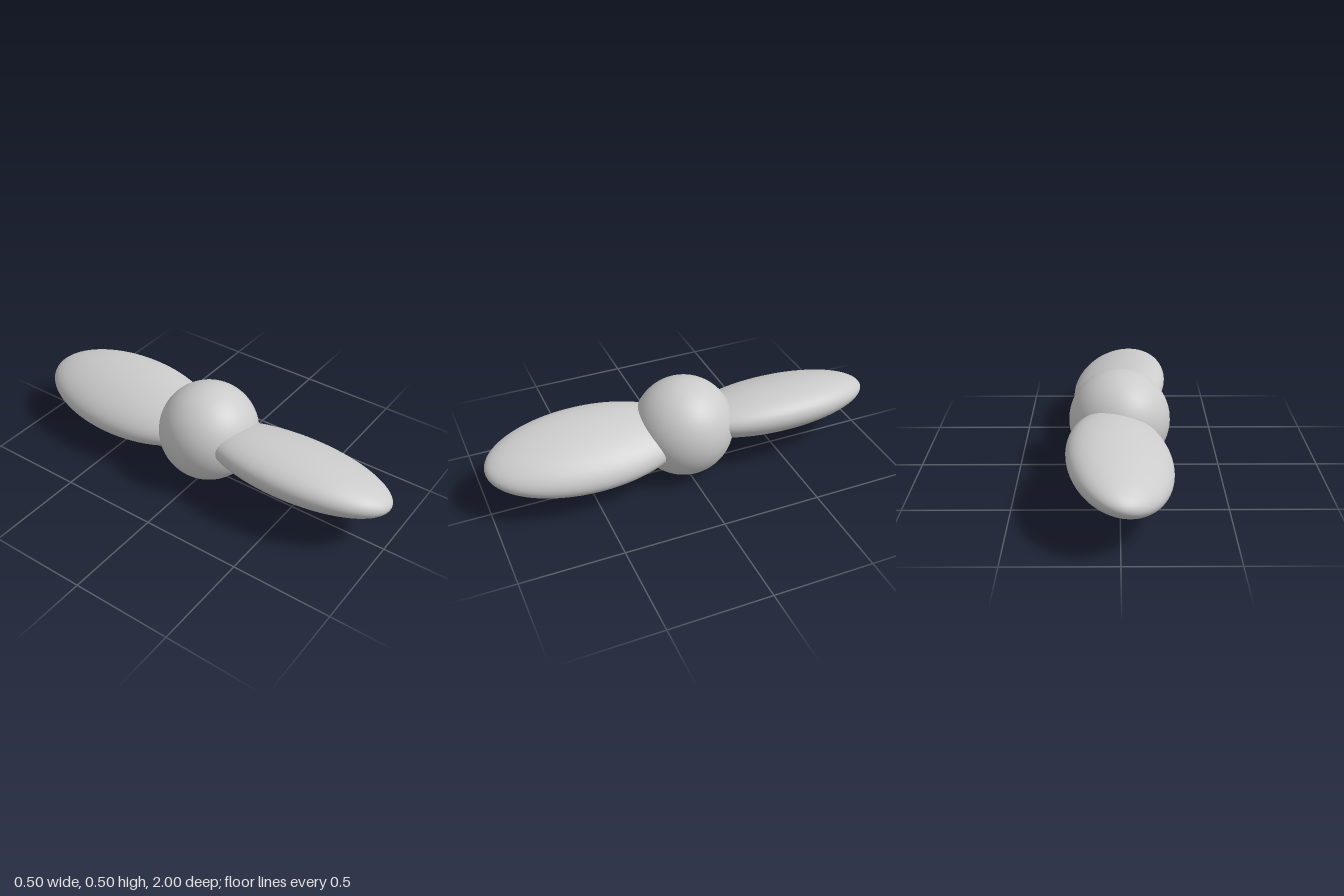
import * as THREE from 'three';

const HUB_RADIUS = 0.25;
const BLADE_PITCH = THREE.MathUtils.degToRad(15);

export function createModel() {
  const model = new THREE.Group();
  model.name = 'propeller';
  const material = new THREE.MeshStandardMaterial({ color: 0xcccccc });

  // Round hub resting on the ground
  const hub = new THREE.Mesh(new THREE.SphereGeometry(HUB_RADIUS, 64, 48), material);
  hub.name = 'hub';
  hub.position.y = HUB_RADIUS;
  model.add(hub);

  // Flattened ellipsoid blade, running from the hub centre to the tip, pitched about its length
  const bladeGeometry = new THREE.SphereGeometry(1, 64, 48)
    .rotateX(Math.PI / 2)
    .scale(0.25, 0.125, 0.5)
    .rotateZ(-BLADE_PITCH)
    .translate(0, 0, 0.5);

  // Two blades, half a turn apart
  ['frontBlade', 'backBlade'].forEach((name, i) => {
    const blade = new THREE.Mesh(bladeGeometry, material);
    blade.name = name;
    blade.position.y = HUB_RADIUS;
    blade.rotation.y = i * Math.PI;
    model.add(blade);
  });

  return model;
}
